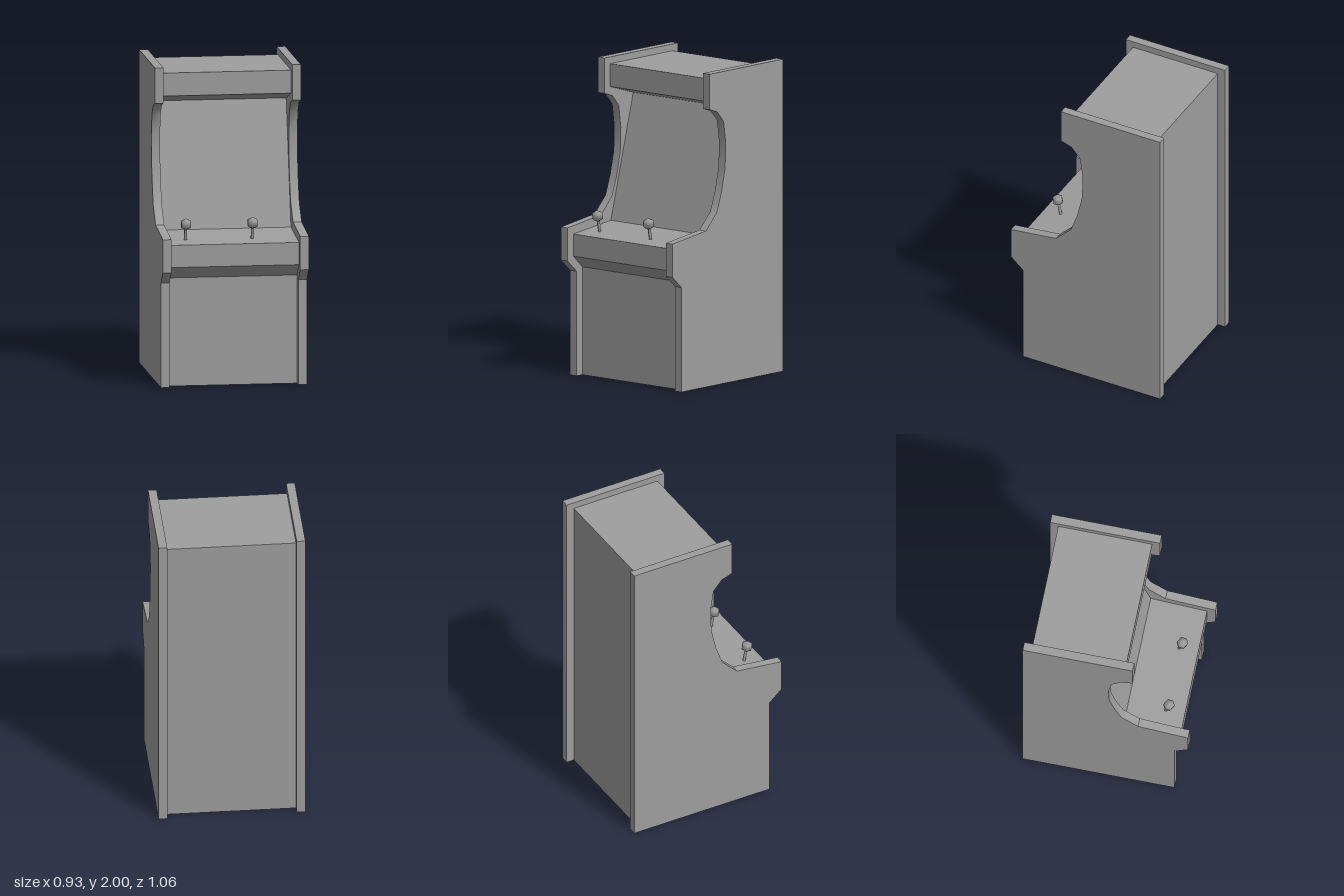
import * as THREE from 'three';
import { toCreasedNormals } from 'three/addons/utils/BufferGeometryUtils.js';

const grey = new THREE.MeshStandardMaterial({ color: 0x9e9e9e });

// Side outlines as [z, y] points
const panelProfile = [
  [-0.532, 0], [0.445, 0], [0.445, 0.67], [0.532, 0.748], [0.532, 0.96], [0.21, 1.0],
  [0.105, 1.105], [0.06, 1.23], [0.025, 1.38], [0.02, 1.54], [0.04, 1.68], [0.1, 1.748],
  [0.175, 1.773], [0.175, 2], [-0.532, 2],
];
const bodyProfile = [
  [-0.48, 0], [0.39, 0], [0.39, 0.692], [0.477, 0.772], [0.477, 0.914], [0.115, 0.952],
  [-0.1, 1.743], [0.124, 1.81], [0.124, 1.957], [-0.48, 1.957],
];

// Extrudes a side outline across x, centred on x = 0
function slab(profile, width, crease) {
  const shape = new THREE.Shape(profile.map(([z, y]) => new THREE.Vector2(z, y)));
  const geometry = new THREE.ExtrudeGeometry(shape, { depth: width, bevelEnabled: false });
  geometry.translate(0, 0, -width / 2).rotateY(-Math.PI / 2);
  return toCreasedNormals(geometry, crease);
}

function part(name, geometry, parent) {
  const mesh = new THREE.Mesh(geometry, grey);
  mesh.name = name;
  parent.add(mesh);
  return mesh;
}

export function createModel() {
  const model = new THREE.Group();
  model.name = 'arcadeCabinet';

  // Cabinet body with control deck, sloping screen and header
  part('cabinetBody', slab(bodyProfile, 0.82, 0.1), model);

  // Side panels standing proud of the body
  const panel = slab(panelProfile, 0.055, 0.6);
  for (const [name, side] of [['rightPanel', -1], ['leftPanel', 1]]) {
    part(name, panel, model).position.x = side * 0.4375;
  }

  // Joysticks leaning slightly forward from the deck
  const shaft = new THREE.CylinderGeometry(0.01, 0.01, 0.1, 6).translate(0, 0.04, 0);
  const knob = new THREE.SphereGeometry(0.039, 6, 3).rotateY(Math.PI / 6).translate(0, 0.102, 0);
  for (const x of [-0.296, 0.129]) {
    const joystick = new THREE.Group();
    joystick.name = 'joystick';
    joystick.position.set(x, 0.929, 0.355);
    joystick.rotation.x = 0.2;
    part('joystickShaft', shaft, joystick);
    part('joystickKnob', knob, joystick);
    model.add(joystick);
  }
  return model;
}
